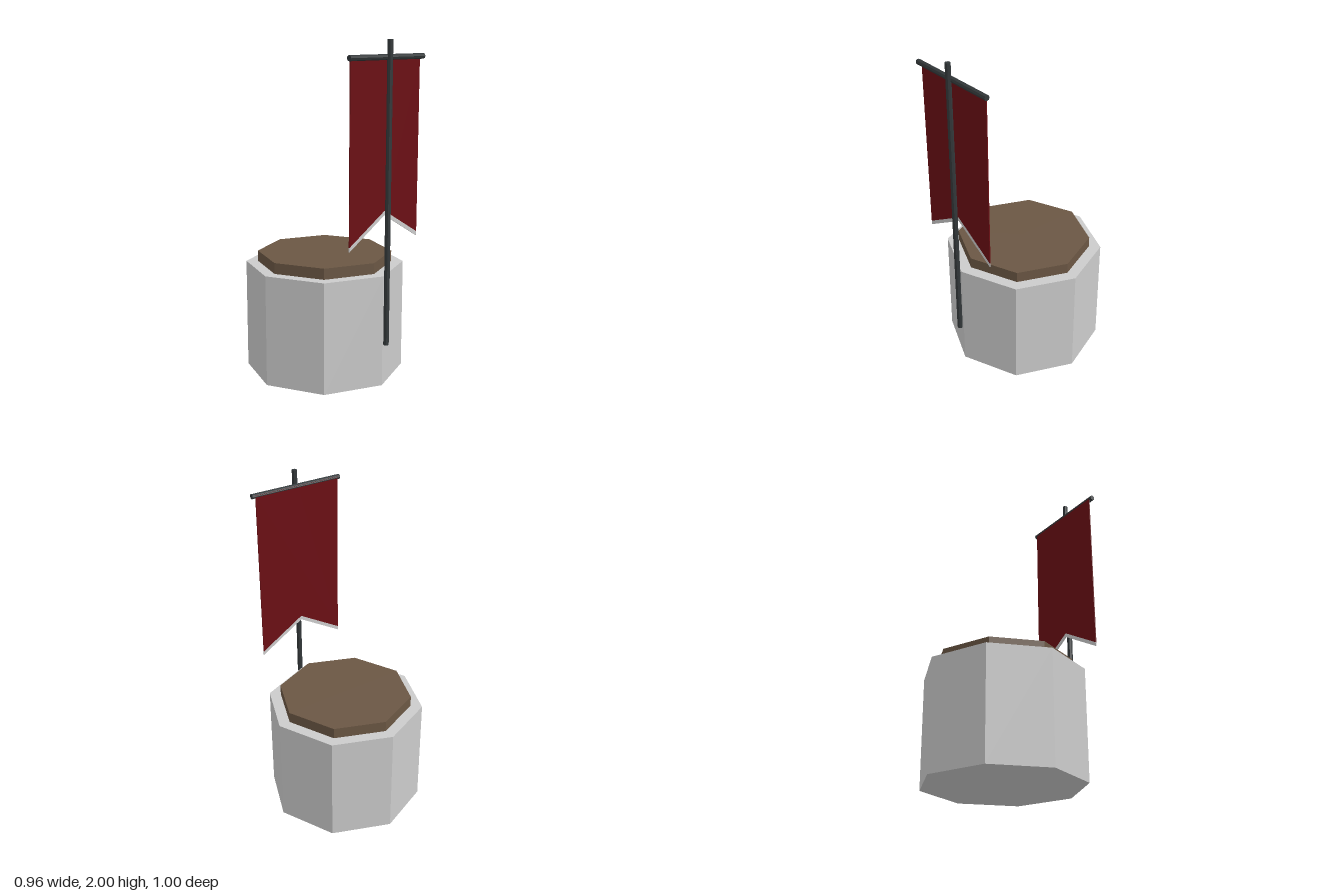
import * as THREE from 'three';

const material = (color) => new THREE.MeshStandardMaterial({ color, flatShading: true });

export function createModel() {
  const model = new THREE.Group();
  const stone = material(0xcccccc);
  const wood = material(0x6b5744);
  const iron = material(0x33383a);
  const cloth = material(0x6b0f14);

  const add = (name, geometry, mat, x, y, z) => {
    const mesh = new THREE.Mesh(geometry, mat);
    mesh.name = name;
    mesh.position.set(x, y, z);
    model.add(mesh);
    return mesh;
  };

  // Octagonal base with a corner facing the front, and a smaller lid on top
  const baseHeight = 0.665, lidHeight = 0.065;
  add('base', new THREE.CylinderGeometry(0.478, 0.478, baseHeight, 8), stone, 0, baseHeight / 2, -0.022);
  add('lid', new THREE.CylinderGeometry(0.407, 0.407, lidHeight, 8), wood, 0, baseHeight + lidHeight / 2, -0.022);

  // Upright pole in front of the base, and the crossbar behind it
  add('pole', new THREE.CylinderGeometry(0.016, 0.016, 1.74, 8), iron, 0, 1.13, 0.484);
  add('crossbar', new THREE.CylinderGeometry(0.016, 0.016, 0.61, 8), iron, 0, 1.904, 0.467).rotation.z = Math.PI / 2;

  // Thin cloth panels cut to an inverted V along the bottom
  const halfWidth = 0.285, thickness = 0.006;
  const panel = (topSide, topMiddle, bottomSide, bottomMiddle) => {
    const shape = new THREE.Shape([
      [-halfWidth, topSide], [-halfWidth, bottomSide], [0, bottomMiddle],
      [halfWidth, bottomSide], [halfWidth, topSide], [0, topMiddle],
    ].map(([x, y]) => new THREE.Vector2(x, y)));
    return new THREE.ExtrudeGeometry(shape, { depth: thickness, bevelEnabled: false });
  };
  add('banner', panel(1.91, 1.91, 0.885, 1.05), cloth, 0, 0, 0.453);
  add('bannerTrim', panel(0.885, 1.05, 0.86, 1.025), stone, 0, 0, 0.453);

  return model;
}
